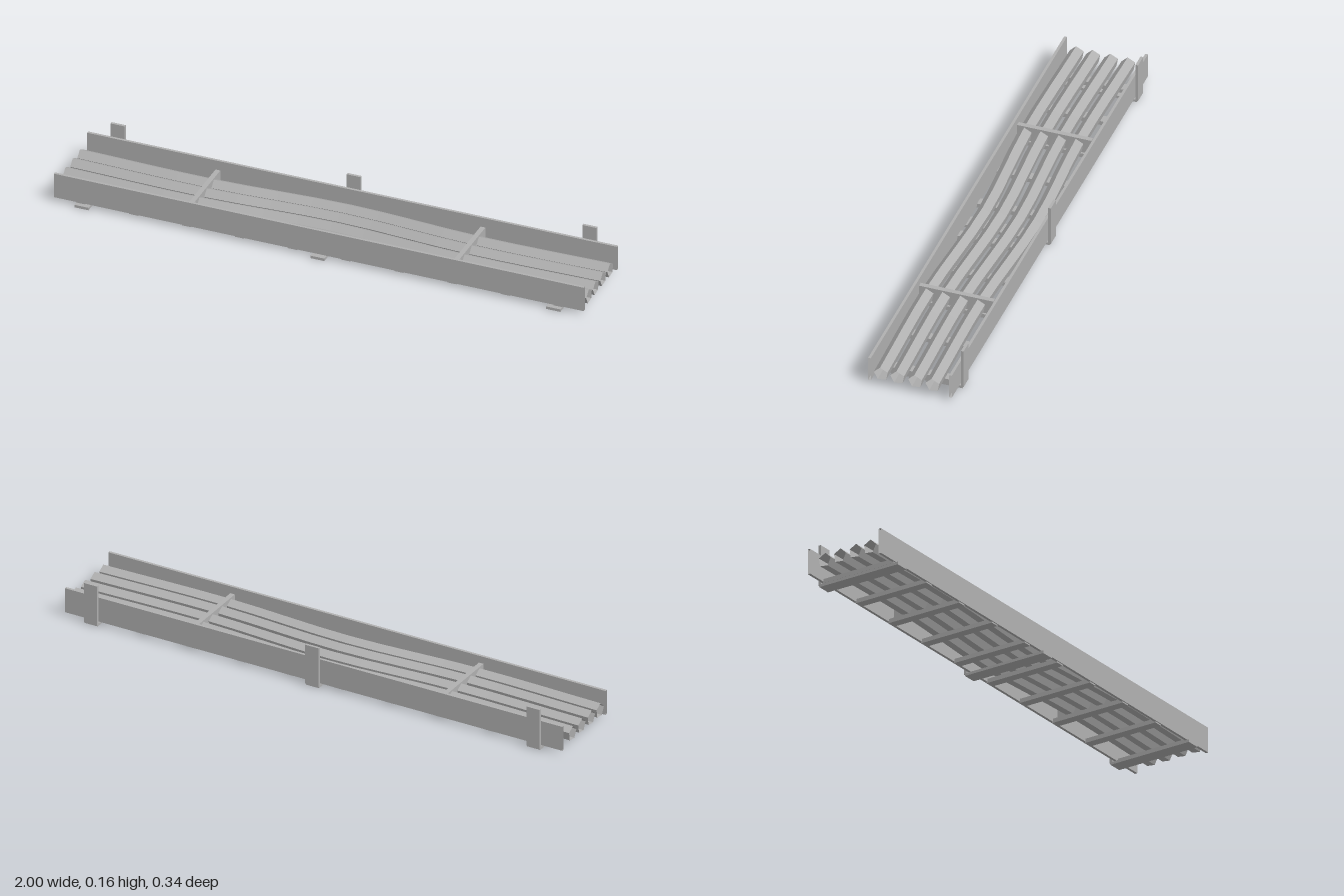
import * as THREE from 'three';

export function createModel() {
  const tray = new THREE.Group();
  tray.name = 'cableTray';
  const steel = new THREE.MeshStandardMaterial({ color: 0xb0b0b0, side: THREE.DoubleSide });
  steel.name = 'grey steel';

  const add = (name, geometry, x = 0, y = 0, z = 0) => {
    const mesh = new THREE.Mesh(geometry, steel);
    mesh.name = name;
    mesh.position.set(x, y, z);
    tray.add(mesh);
    return mesh;
  };
  // Box given by its centre and width in x, and its y and z limits
  const bar = (name, x, w, y0, y1, z0, z1) =>
    add(name, new THREE.BoxGeometry(w, y1 - y0, z1 - z0), x, (y0 + y1) / 2, (z0 + z1) / 2);

  // Side rails: thin sheet walls, open at the ends
  for (const [name, z] of [['frontRail', 0.15], ['backRail', -0.15]]) {
    const rail = bar(name, 0, 2, 0.015, 0.11, z - 0.005, z + 0.005);
    const index = Array.from(rail.geometry.index.array).slice(12);
    rail.geometry.setIndex(index);
    rail.geometry.clearGroups();
  }

  // Rungs across the bottom
  for (let i = 0; i < 10; i++) bar('rung', -0.9 + i * 0.2, 0.034, 0.01, 0.026, -0.148, 0.151);

  // L-shaped wall brackets: foot below and upright behind
  for (const x of [-0.89, 0, 0.89]) {
    bar('bracketFoot', x, 0.053, 0, 0.01, -0.164, 0.168);
    bar('bracketUpright', x, 0.053, 0.006, 0.16, -0.168, -0.158);
  }

  // Cross dividers holding the cables
  for (const x of [-0.5, 0.5]) bar('divider', x, 0.018, 0.026, 0.083, -0.13, 0.147);

  // Five-sided cables, bent sideways along a gentle wave
  const wave = new THREE.CatmullRomCurve3(
    [[-1, 0], [-0.5, 0.008], [0, -0.016], [0.5, 0.008], [1, 0]].map(([x, z]) => new THREE.Vector3(x, 0, z)));
  for (const z of [0.107, 0.046, -0.02, -0.084]) {
    let cable = new THREE.CylinderGeometry(0.027, 0.027, 2, 5, 16, true);
    cable.rotateZ(-Math.PI / 2);
    // The first corner points down, tilted slightly to the back
    cable.rotateX(-0.17);
    const p = cable.attributes.position;
    for (let i = 0; i < p.count; i++) {
      p.setZ(i, p.getZ(i) + wave.getPoint((p.getX(i) + 1) / 2).z);
    }
    cable = cable.toNonIndexed();
    cable.computeVertexNormals();
    add('cable', cable, 0, 0.051, z);
  }
  return tray;
}
